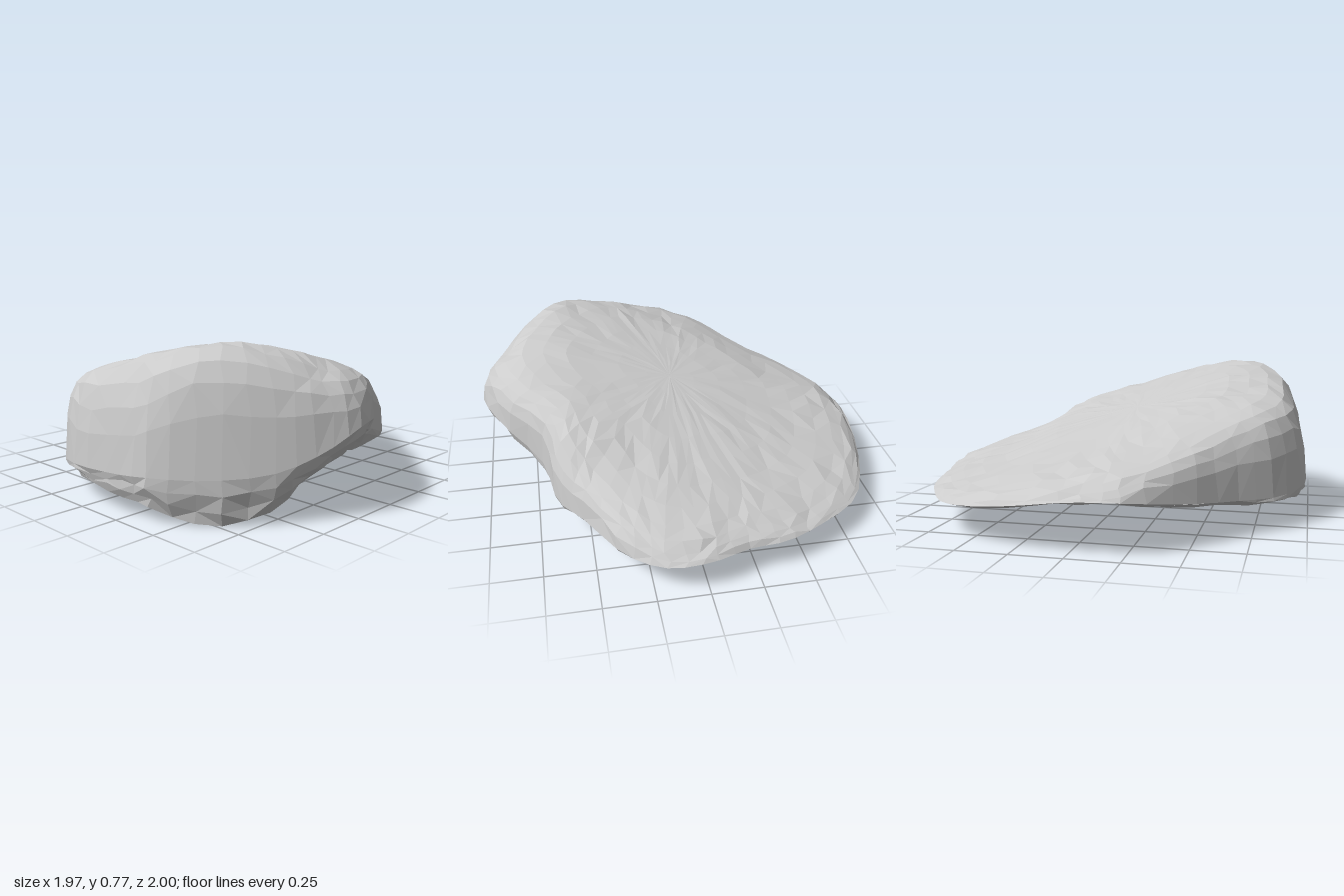
import * as THREE from 'three';

// Widest outline, counter-clockwise from the front: x, z, height, rim inset scale, rim height
const OUTLINE = [
  [-0.25, 1.0, 0.42, 0.78, 0.2], [0, 0.9, 0.4, 0.76, 0.23], [0.22, 0.71, 0.29, 0.86, 0.15],
  [0.45, 0.65, 0.21, 0.88, 0.14], [0.6, 0.54, 0.2, 0.88, 0.16], [0.85, 0.37, 0.17, 0.87, 0.13],
  [0.97, 0.2, 0.17, 0.87, 0.14], [0.98, 0, 0.18, 0.87, 0.16], [0.91, -0.2, 0.17, 0.87, 0.14],
  [0.89, -0.38, 0.17, 0.87, 0.15], [0.79, -0.6, 0.17, 0.87, 0.15], [0.63, -0.82, 0.17, 0.87, 0.15],
  [0.33, -0.95, 0.2, 0.87, 0.17], [-0.03, -1, 0.25, 0.87, 0.24], [-0.24, -0.97, 0.25, 0.87, 0.23],
  [-0.48, -0.75, 0.21, 0.9, 0.18], [-0.69, -0.5, 0.18, 0.92, 0.15], [-0.87, -0.31, 0.17, 0.94, 0.13],
  [-0.98, -0.08, 0.19, 0.96, 0.12], [-0.97, 0.2, 0.2, 0.97, 0.1], [-0.95, 0.4, 0.22, 0.96, 0.08],
  [-0.8, 0.62, 0.22, 0.95, 0.0], [-0.6, 0.82, 0.25, 0.93, 0.06], [-0.42, 0.94, 0.33, 0.85, 0.17],
];
// Crest heights across the width and along the depth
const CREST_X = [[-1, 0.45], [-0.93, 0.61], [-0.86, 0.71], [-0.76, 0.765], [-0.6, 0.785], [-0.4, 0.76],
  [-0.2, 0.71], [0, 0.635], [0.3, 0.56], [0.5, 0.41], [0.7, 0.34], [0.9, 0.26], [1, 0.2]];
const CREST_Z = [[-1, 0.27], [-0.9, 0.35], [-0.6, 0.44], [-0.2, 0.6], [0.2, 0.71], [0.55, 0.785],
  [0.7, 0.75], [0.85, 0.67], [1, 0.6]];
const CX = -0.1, BASE = 0.15;

function sample(table, v) {
  let i = 1;
  while (i < table.length - 1 && v > table[i][0]) i++;
  const [a, b] = [table[i - 1], table[i]];
  return THREE.MathUtils.lerp(a[1], b[1], THREE.MathUtils.clamp((v - a[0]) / (b[0] - a[0]), 0, 1));
}

// Tilted slab, held below both crests and softened where they meet
function topHeight(x, z) {
  const hx = sample(CREST_X, x), hz = sample(CREST_Z, z);
  const slab = 0.79 - 0.28 * (x + 0.6) - 0.2 * (0.55 - z);
  const soft = BASE + (hx - BASE) * (hz - BASE) / (0.78 - BASE);
  return 0.6 * Math.min(hx, hz, slab) + 0.4 * soft;
}

// Repeatable noise in -1..1
function noise(i, j, k) {
  const s = Math.sin(i * 12.99 + j * 78.23 + k * 37.72) * 43758.55;
  return (s - Math.floor(s)) * 2 - 1;
}

export function createModel() {
  const outer = new THREE.CatmullRomCurve3(
    OUTLINE.map(([x, z, y]) => new THREE.Vector3(x, y, z)), true);
  const rim = new THREE.CatmullRomCurve3(
    OUTLINE.map(([x, z, , s, ry]) => new THREE.Vector3(CX + (x - CX) * s, ry, z * s)), true);

  const SEG = 60;
  const TOP = [0, 0.13, 0.27, 0.41, 0.54, 0.66, 0.77, 0.86, 0.92, 0.96, 0.985, 1];
  const WALL = [0.3, 0.65, 1];
  const positions = [], index = [];

  // Sloping top, from the middle out to the widest outline
  TOP.forEach((t, i) => {
    for (let j = 0; j < SEG; j++) {
      const w = outer.getPoint(j / SEG);
      const rough = t === 1 ? 0 : t;
      const angle = rough * noise(i, j, 1) * 0.018;
      const dx = (w.x - CX) * t, dz = w.z * t;
      const x = CX + dx * Math.cos(angle) - dz * Math.sin(angle);
      const z = dx * Math.sin(angle) + dz * Math.cos(angle);
      const h = Math.max(topHeight(x, z), w.y);
      const y = w.y + (h - w.y) * Math.sqrt(1 - Math.pow(t, 22));
      positions.push(x, y + rough * noise(i, j, 2) * 0.008, z);
    }
  });

  // Undercut wall, from the widest outline down to the ragged rim
  WALL.forEach((t, i) => {
    for (let j = 0; j < SEG; j++) {
      const w = outer.getPoint(j / SEG), r = rim.getPoint(j / SEG);
      const inset = Math.pow(t, 1.7);
      const n = 0.01;
      positions.push(
        w.x + (r.x - w.x) * inset + noise(i, j, 3) * n,
        Math.max(0, w.y + (r.y - w.y) * t + noise(i, j, 4) * n),
        w.z + (r.z - w.z) * inset + noise(i, j, 5) * n);
    }
  });

  // Facets between neighbouring rings, with alternating diagonals
  for (let i = 0; i < TOP.length + WALL.length - 1; i++) {
    for (let j = 0; j < SEG; j++) {
      const k = (j + 1) % SEG;
      const a = i * SEG + j, d = i * SEG + k, b = a + SEG, c = d + SEG;
      if (i === 0) index.push(a, b, c);
      else if (noise(i, j, 6) > 0) index.push(a, b, c, a, c, d);
      else index.push(a, b, d, b, c, d);
    }
  }

  const geometry = new THREE.BufferGeometry();
  geometry.setAttribute('position', new THREE.Float32BufferAttribute(positions, 3));
  geometry.setIndex(index);
  geometry.computeVertexNormals();

  // Open-bottomed boulder shell
  const rock = new THREE.Mesh(geometry, new THREE.MeshStandardMaterial({
    color: 0xcccccc, flatShading: true, side: THREE.DoubleSide }));
  rock.name = 'rockShell';
  const group = new THREE.Group();
  group.name = 'rock';
  group.add(rock);
  return group;
}
